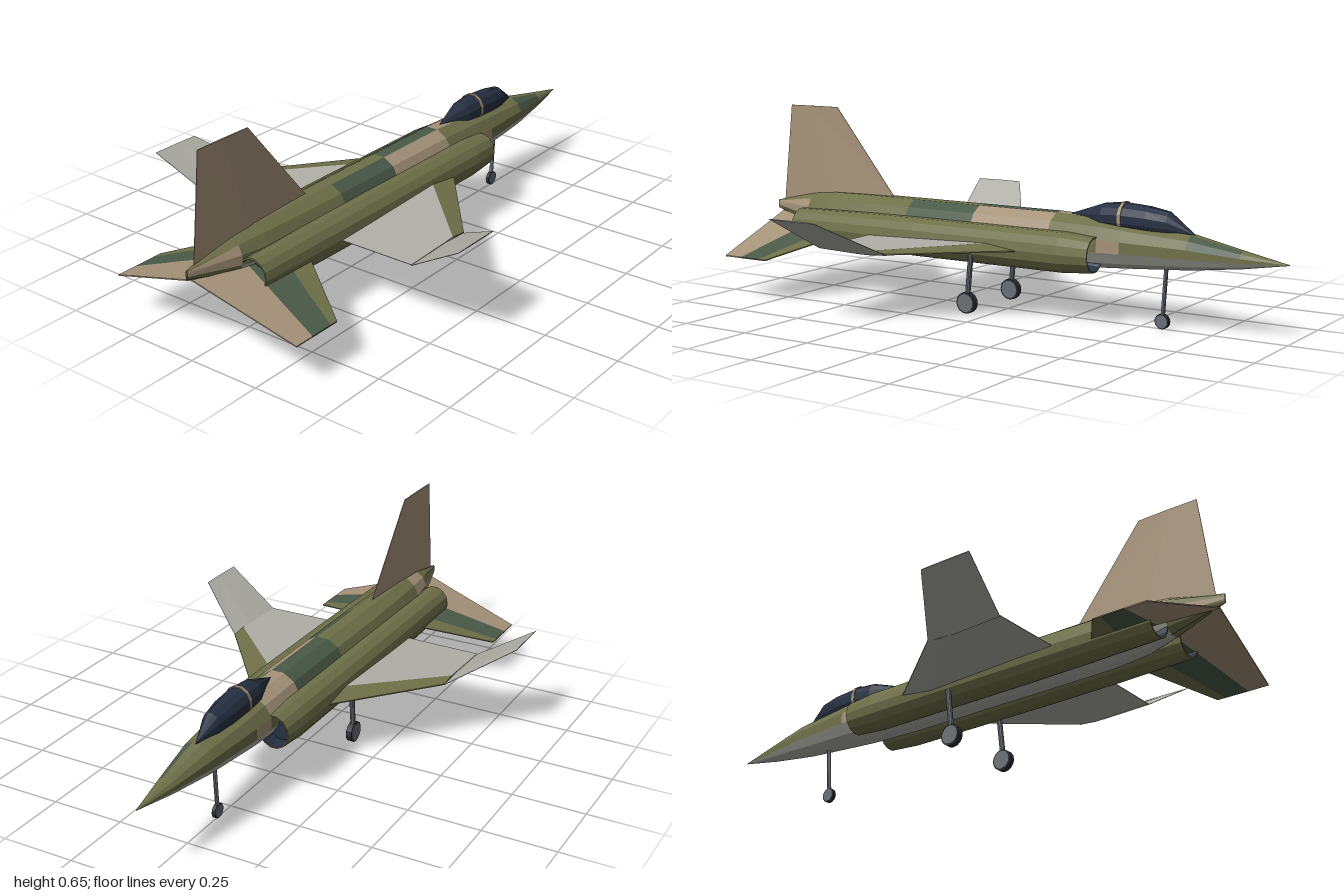
import * as THREE from 'three';

const paint = (name, color) => {
  const m = new THREE.MeshStandardMaterial({ color, flatShading: true, side: THREE.DoubleSide });
  m.name = name;
  return m;
};

export function createModel() {
  const model = new THREE.Group();
  const olive = paint('olive', 0x6e7049), green = paint('darkGreen', 0x4a5a48);
  const tan = paint('tan', 0xa6937a), grey = paint('lightGrey', 0xb0b0a8);
  const navy = paint('glassNavy', 0x263042), metal = paint('gearGrey', 0x6a6f76);
  const tyre = paint('tyre', 0x2b2e34);
  const palette = [olive, green, tan, grey, navy, metal, tyre];

  const add = (name, geo, mat, parent = model) => {
    const mesh = new THREE.Mesh(geo, mat);
    mesh.name = name;
    parent.add(mesh);
    return mesh;
  };

  // Builds a mesh from triangles sorted by material
  function facets(name, buckets, parent) {
    const geo = new THREE.BufferGeometry(), pos = [], mats = [];
    buckets.forEach((pts, mat) => {
      geo.addGroup(pos.length / 3, pts.length, mats.length);
      mats.push(mat);
      pts.forEach(p => pos.push(p[0], p[1], p[2]));
    });
    geo.setAttribute('position', new THREE.Float32BufferAttribute(pos, 3));
    geo.computeVertexNormals();
    return add(name, geo, mats.length > 1 ? mats : mats[0], parent);
  }
  const put = (buckets, mat, ...pts) => {
    if (!buckets.has(mat)) buckets.set(mat, []);
    buckets.get(mat).push(...pts);
  };

  // Elliptical rings [z, halfWidth, top, bottom] joined along z; colour chosen per facet
  function loft(name, rings, sides, colourOf, cx = 0, parent = model) {
    const buckets = new Map();
    const at = (i, j) => {
      const [z, w, top, bottom] = rings[i], a = (j - 0.5) / sides * Math.PI * 2;
      const k = 1 / Math.cos(Math.PI / sides);
      return [cx + Math.sin(a) * w, (top + bottom) / 2 + Math.cos(a) * k * (top - bottom) / 2, z];
    };
    for (let i = 0; i < rings.length - 1; i++)
      for (let j = 0; j < sides; j++) {
        const a = at(i, j), b = at(i, j + 1), c = at(i + 1, j), d = at(i + 1, j + 1);
        put(buckets, colourOf(i, j), a, c, b, b, c, d);
      }
    return facets(name, buckets, parent);
  }

  // Solid panel: four corners [x, y, z, halfThickness], thickened along one axis
  function panel(name, corners, mat, under = mat, axis = 1, parent = model) {
    const shift = s => corners.map(c => c.slice(0, 3).map((v, k) => k === axis ? v + s * c[3] : v));
    const t = shift(1), u = shift(-1), buckets = new Map();
    put(buckets, mat, t[0], t[2], t[1], t[0], t[3], t[2]);
    put(buckets, under, u[0], u[1], u[2], u[0], u[2], u[3]);
    for (let i = 0; i < 4; i++) {
      const n = (i + 1) % 4;
      put(buckets, mat, t[i], t[n], u[n], t[i], u[n], u[i]);
    }
    return facets(name, buckets, parent);
  }

  function rod(name, a, b, r, mat, parent) {
    const from = new THREE.Vector3(...a), dir = new THREE.Vector3(...b).sub(from);
    const m = add(name, new THREE.CylinderGeometry(r, r, dir.length(), 10), mat, parent);
    m.position.copy(from).addScaledVector(dir, 0.5);
    m.quaternion.setFromUnitVectors(new THREE.Vector3(0, 1, 0), dir.normalize());
    return m;
  }

  // Fuselage, nose at -z, with camouflage patches per station and side
  const body = [
    [-1, 0.001, 0.251, 0.249], [-0.85, 0.032, 0.28, 0.225], [-0.68, 0.06, 0.315, 0.205],
    [-0.46, 0.08, 0.335, 0.19], [-0.38, 0.084, 0.343, 0.185], [-0.2, 0.085, 0.35, 0.18],
    [0.1, 0.085, 0.35, 0.18], [0.37, 0.084, 0.35, 0.18], [0.6, 0.078, 0.35, 0.18],
    [0.72, 0.07, 0.348, 0.19], [0.82, 0.053, 0.338, 0.215], [1, 0.004, 0.3, 0.27]
  ];
  // Rows: station index, material, sides counted clockwise from the top
  const patches = [
    [1, green, [1, 2]], [3, tan, [3, 9]], [4, tan, [0, 10, 11]],
    [5, green, [0, 10, 11]], [5, tan, [1, 2]], [6, green, [1, 2]],
    [9, tan, [10, 11]], [10, tan, [2, 3, 9]]
  ];
  loft('fuselage', body, 12, (i, j) => {
    if (j >= 4 && j <= 8) return i < 10 ? grey : olive;
    const hit = patches.find(p => p[0] === i && p[2].includes(j));
    return hit ? hit[1] : olive;
  });

  // Canopy with its hoop
  loft('canopy', [
    [-0.685, 0.001, 0.318, 0.312], [-0.6, 0.032, 0.38, 0.3], [-0.53, 0.043, 0.392, 0.3],
    [-0.44, 0.046, 0.398, 0.3], [-0.37, 0.041, 0.392, 0.3], [-0.245, 0.001, 0.349, 0.34]
  ], 12, () => navy);
  loft('canopyHoop', [
    [-0.447, 0.04, 0.39, 0.31], [-0.447, 0.048, 0.401, 0.3],
    [-0.435, 0.048, 0.401, 0.3], [-0.435, 0.04, 0.39, 0.31]
  ], 12, () => tan);

  // Tail fin, thickest at mid chord
  const finMid = [[0, 0.33, 0.74, 0.014], [0, 0.652, 0.83, 0.003]];
  panel('finFront', [[0, 0.34, 0.465, 0.001], [0, 0.652, 0.72, 0.001], finMid[1], finMid[0]], tan, tan, 0);
  panel('finRear', [finMid[0], finMid[1], [0, 0.652, 0.93, 0.001], [0, 0.30, 0.97, 0.001]], tan, tan, 0);

  for (const s of [1, -1]) {
    const side = new THREE.Group();
    side.name = s > 0 ? 'leftSide' : 'rightSide';
    model.add(side);
    const plate = (name, pts, mat, under) => {
      const c = pts.map(p => [p[0] * s, p[1], p[2], p[3]]);
      panel(name, s > 0 ? c : c.reverse(), mat, under, 1, side);
    };

    // Engine nacelle with recessed dark intake and exhaust
    const duct = [
      [-0.33, 0.001], [-0.33, 0.046], [-0.38, 0.05], [-0.38, 0.054], [-0.27, 0.062],
      [0.3, 0.062], [0.55, 0.06], [0.82, 0.055], [0.82, 0.05], [0.77, 0.048], [0.77, 0.001]
    ].map(([z, r]) => [z, r, 0.235 + r * 1.05, 0.235 - r * 1.05]);
    loft('nacelle', duct, 14, i => i < 2 || i > 7 ? navy : olive, 0.088 * s, side);

    // Wing: painted leading strip, main panel and raised tip
    const rootRidge = [0.09, 0.233, -0.06, 0.018], tipRidge = [0.412, 0.23, 0.26, 0.008];
    plate('wingLeadingStrip', [[0.09, 0.233, -0.194, 0.002], [0.412, 0.23, 0.2, 0.002], tipRidge, rootRidge], olive, grey);
    plate('wingPanel', [rootRidge, tipRidge, [0.412, 0.23, 0.475, 0.001], [0.09, 0.233, 0.475, 0.001]], grey);
    const tipMid = [[0.41, 0.227, 0.3, 0.006], [0.608, 0.345, 0.41, 0.002]];
    plate('wingTipFront', [[0.41, 0.227, 0.2, 0.001], [0.608, 0.345, 0.335, 0.001], tipMid[1], tipMid[0]], grey);
    plate('wingTipRear', [tipMid[0], tipMid[1], [0.608, 0.345, 0.515, 0.001], [0.41, 0.227, 0.475, 0.001]], grey);

    // Drooping tailplane in three colour bands: [root z, tip z]
    const bands = [[0.52, 0.76], [0.64, 0.79], [0.78, 0.87], [0.98, 0.94]];
    [olive, green, tan].forEach((mat, i) => {
      const [a, b] = [bands[i], bands[i + 1]], t = 0.002;
      plate('tailplaneBand', [[0, 0.26, a[0], t], [0.357, 0.148, a[1], t], [0.357, 0.148, b[1], t], [0, 0.26, b[0], t]], mat);
    });
  }

  // Landing gear: strut, tyre and hub
  function gear(name, x, z, topZ, r, width, strutR) {
    const g = new THREE.Group();
    g.name = name;
    model.add(g);
    rod('strut', [x, 0.215, topZ], [x, r + 0.004, z], strutR, metal, g);
    for (const [part, rad, w, mat] of [['tyre', r, width, tyre], ['hub', r * 0.85, width + 0.004, metal]]) {
      const m = add(part, new THREE.CylinderGeometry(rad, rad, w, 16), mat, g);
      m.rotation.z = Math.PI / 2;
      m.position.set(x, r + 0.004, z);
    }
  }
  gear('leftMainGear', 0.136, 0.075, 0.058, 0.036, 0.02, 0.009);
  gear('rightMainGear', -0.136, 0.075, 0.058, 0.036, 0.02, 0.009);
  gear('noseGear', 0, -0.578, -0.59, 0.025, 0.012, 0.007);

  return model;
}
